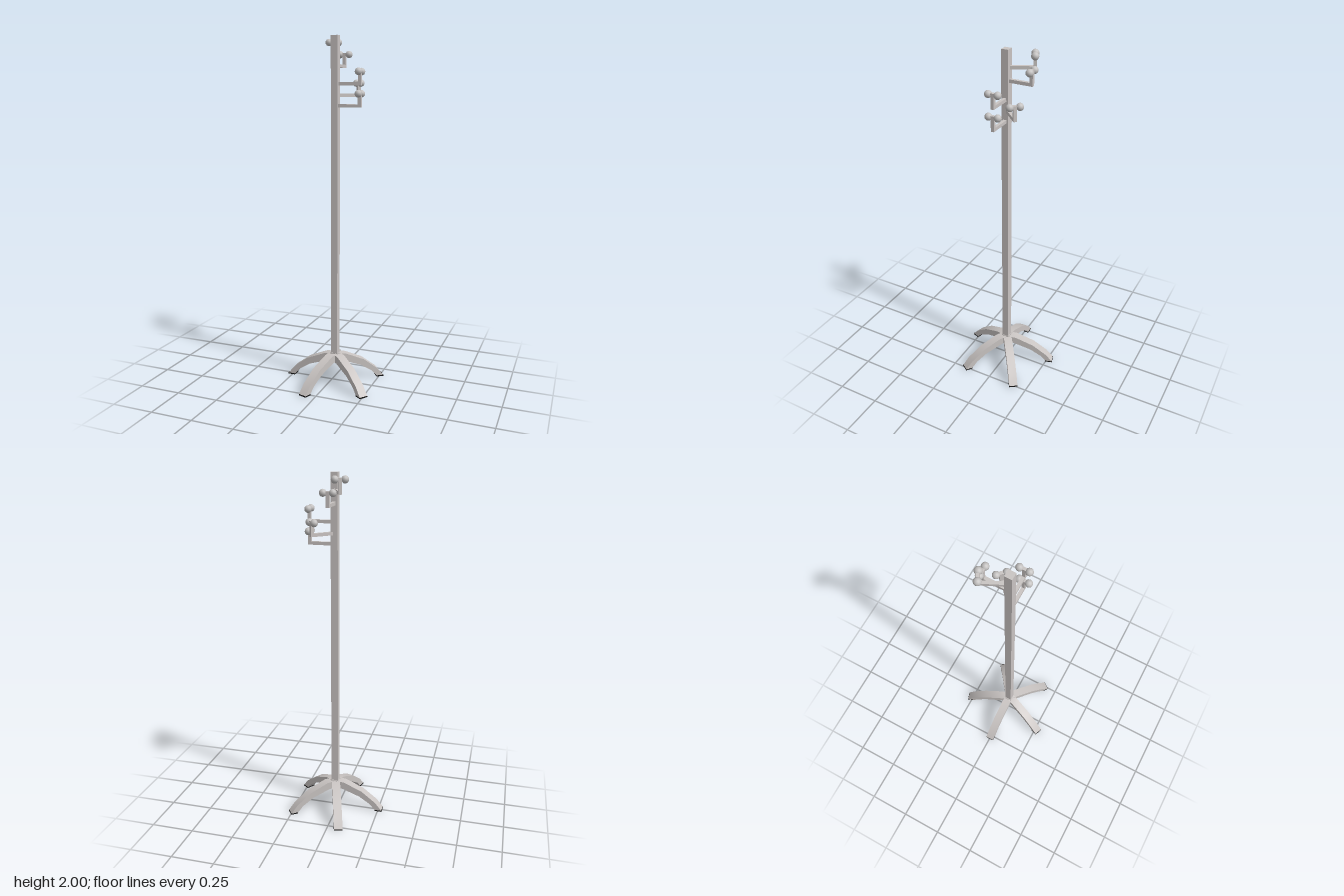
import * as THREE from 'three';
import { toCreasedNormals } from 'three/addons/utils/BufferGeometryUtils.js';

const POLE_X = 0.02;   // the pole stands slightly off the centre of the bounds
const BAR = 0.018;     // thickness of the hook bars

export function createModel() {
  const body = new THREE.MeshStandardMaterial({ name: 'pale grey', color: 0xc9c4c2 });
  const knobs = new THREE.MeshStandardMaterial({ name: 'knob grey', color: 0xc4c2c1 });
  const rubber = new THREE.MeshStandardMaterial({ name: 'black rubber', color: 0x151515 });

  const model = new THREE.Group();
  model.name = 'coatStand';

  function add(parent, name, geometry, material, x = 0, y = 0, z = 0) {
    const mesh = new THREE.Mesh(geometry, material);
    mesh.name = name;
    mesh.position.set(x, y, z);
    parent.add(mesh);
    return mesh;
  }

  // Square pole and the collar where the legs meet
  add(model, 'pole', new THREE.BoxGeometry(0.04, 1.87, 0.04), body, POLE_X, 1.065);
  add(model, 'collar', new THREE.BoxGeometry(0.046, 0.05, 0.046), body, POLE_X, 0.15);

  // Five arched legs: the profile runs out along the top and back underneath
  const profile = [
    [0, 0.172], [0.06, 0.167], [0.17, 0.12], [0.255, 0.055], [0.295, 0.006],
    [0.253, 0.006], [0.222, 0.042], [0.155, 0.085], [0.05, 0.123], [0, 0.128],
  ].map(([r, y]) => new THREE.Vector2(r, y));
  const legBlank = new THREE.ExtrudeGeometry(new THREE.Shape(profile), { depth: 0.05, bevelEnabled: false });
  legBlank.translate(0, 0, -0.025);
  const legGeometry = toCreasedNormals(legBlank, 0.75);
  const padGeometry = new THREE.BoxGeometry(0.043, 0.007, 0.051);

  for (let i = 0; i < 5; i++) {
    const leg = new THREE.Group();
    leg.name = 'leg';
    leg.position.x = POLE_X;
    leg.rotation.y = THREE.MathUtils.degToRad(36 + 72 * i);
    add(leg, 'legArch', legGeometry, body);
    add(leg, 'footPad', padGeometry, rubber, 0.2745, 0.0035);
    model.add(leg);
  }

  // Hooks: arm, upright, crossbar and two knobs, set around the pole
  const reach = 0.143, rise = 0.066, spread = 0.027;
  const armGeometry = new THREE.BoxGeometry(reach + BAR / 2, BAR, BAR);
  const uprightGeometry = new THREE.BoxGeometry(BAR, rise + BAR / 2, BAR);
  const crossbarGeometry = new THREE.BoxGeometry(BAR, BAR, spread * 2);
  const knobGeometry = new THREE.SphereGeometry(0.0205, 12, 8);

  const hooks = [[0, 1.62], [45, 1.678], [0, 1.739], [90, 1.838], [115, 1.905]];
  for (const [degrees, height] of hooks) {
    const hook = new THREE.Group();
    hook.name = 'hook';
    hook.position.set(POLE_X, height, 0);
    hook.rotation.y = THREE.MathUtils.degToRad(degrees);
    add(hook, 'hookArm', armGeometry, body, (reach + BAR / 2) / 2);
    add(hook, 'hookUpright', uprightGeometry, body, reach, rise / 2 + BAR / 4);
    add(hook, 'hookCrossbar', crossbarGeometry, body, reach, rise);
    for (const side of [-1, 1]) add(hook, 'knob', knobGeometry, knobs, reach, rise, side * spread);
    model.add(hook);
  }

  return model;
}
